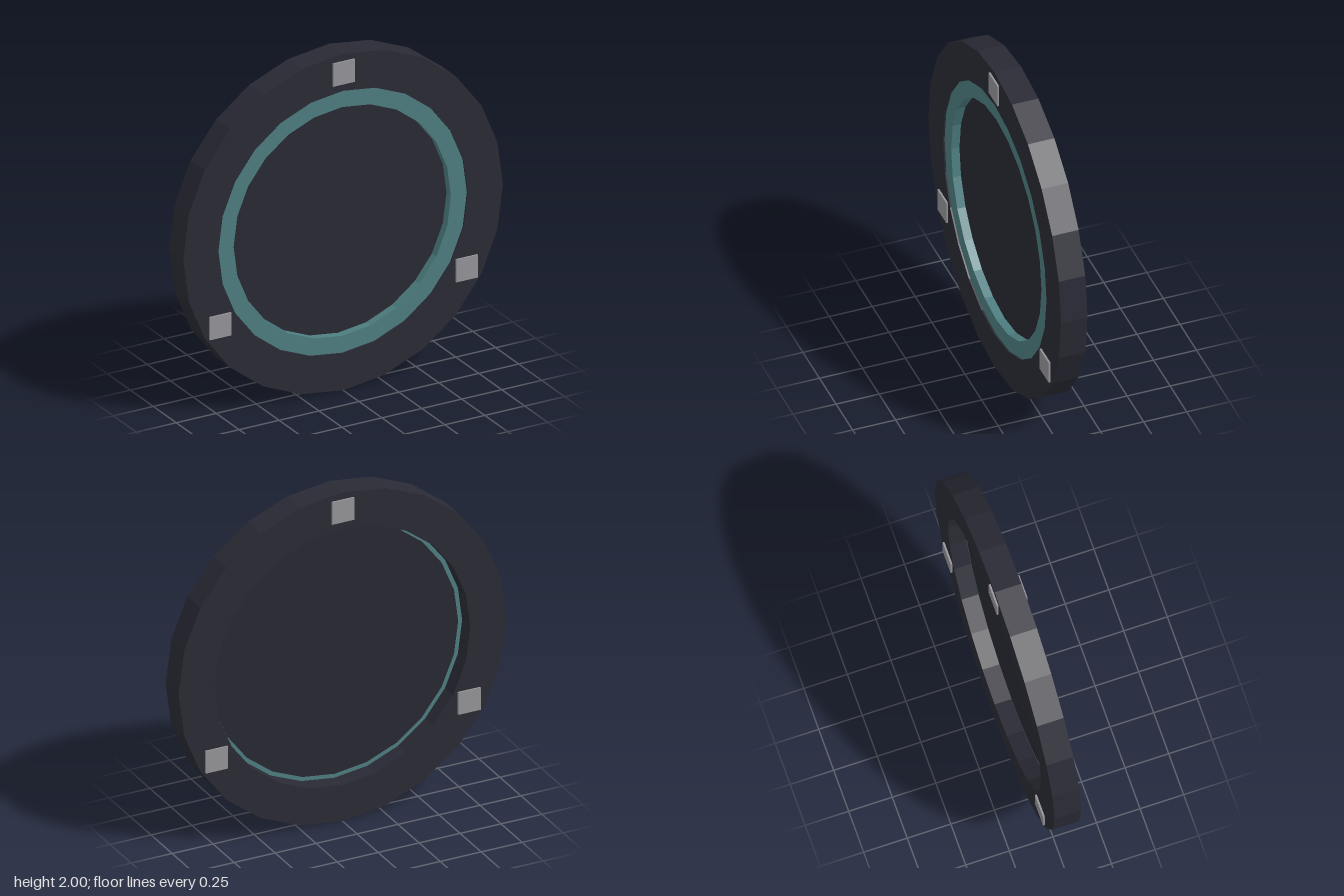
import * as THREE from 'three';

const SIDES = 24;

// Flat-shaded 24-sided annulus between z0 and z1
function ringGeometry(outer, inner, z0, z1) {
  const corners = (r) => Array.from({ length: SIDES }, (_, i) => {
    const a = (i / SIDES) * Math.PI * 2;
    return new THREE.Vector2(Math.cos(a) * r, Math.sin(a) * r);
  });
  const shape = new THREE.Shape(corners(outer));
  shape.holes.push(new THREE.Path(corners(inner).reverse()));
  const geometry = new THREE.ExtrudeGeometry(shape, { depth: z1 - z0, bevelEnabled: false });
  return geometry.translate(0, 0, z0);
}

export function createModel() {
  const dark = new THREE.MeshStandardMaterial({ name: 'dark frame', color: 0x2a2a35 });
  const teal = new THREE.MeshStandardMaterial({ name: 'teal trim', color: 0x4d7d80 });
  const grey = new THREE.MeshStandardMaterial({ name: 'grey metal', color: 0x949498 });
  const panel = new THREE.MeshStandardMaterial({ name: 'dark panel', color: 0x282833, side: THREE.DoubleSide });

  const model = new THREE.Group();
  model.name = 'roundHatch';
  const add = (name, geometry, material) => {
    const mesh = new THREE.Mesh(geometry, material);
    mesh.name = name;
    mesh.position.y = 1;
    model.add(mesh);
    return mesh;
  };

  // Heavy outer frame, with the trim ring set just behind its front face
  add('outerFrame', ringGeometry(1, 0.78, -0.077, 0.077), dark);
  add('trimRing', ringGeometry(0.78, 0.68, 0.02, 0.068), teal);

  // Thin panel closing the opening at the back of the trim ring
  add('centrePanel', new THREE.CircleGeometry(0.755, SIDES).translate(0, 0, 0.018), panel);

  // Three square clamps passing through the frame, a third of a turn apart
  for (let i = 0; i < 3; i++) {
    const a = Math.PI / 2 + (i * Math.PI * 2) / 3;
    const clamp = add('clamp', new THREE.BoxGeometry(0.135, 0.135, 0.175), grey);
    clamp.position.set(Math.cos(a) * 0.89, 1 + Math.sin(a) * 0.89, 0);
  }

  return model;
}
